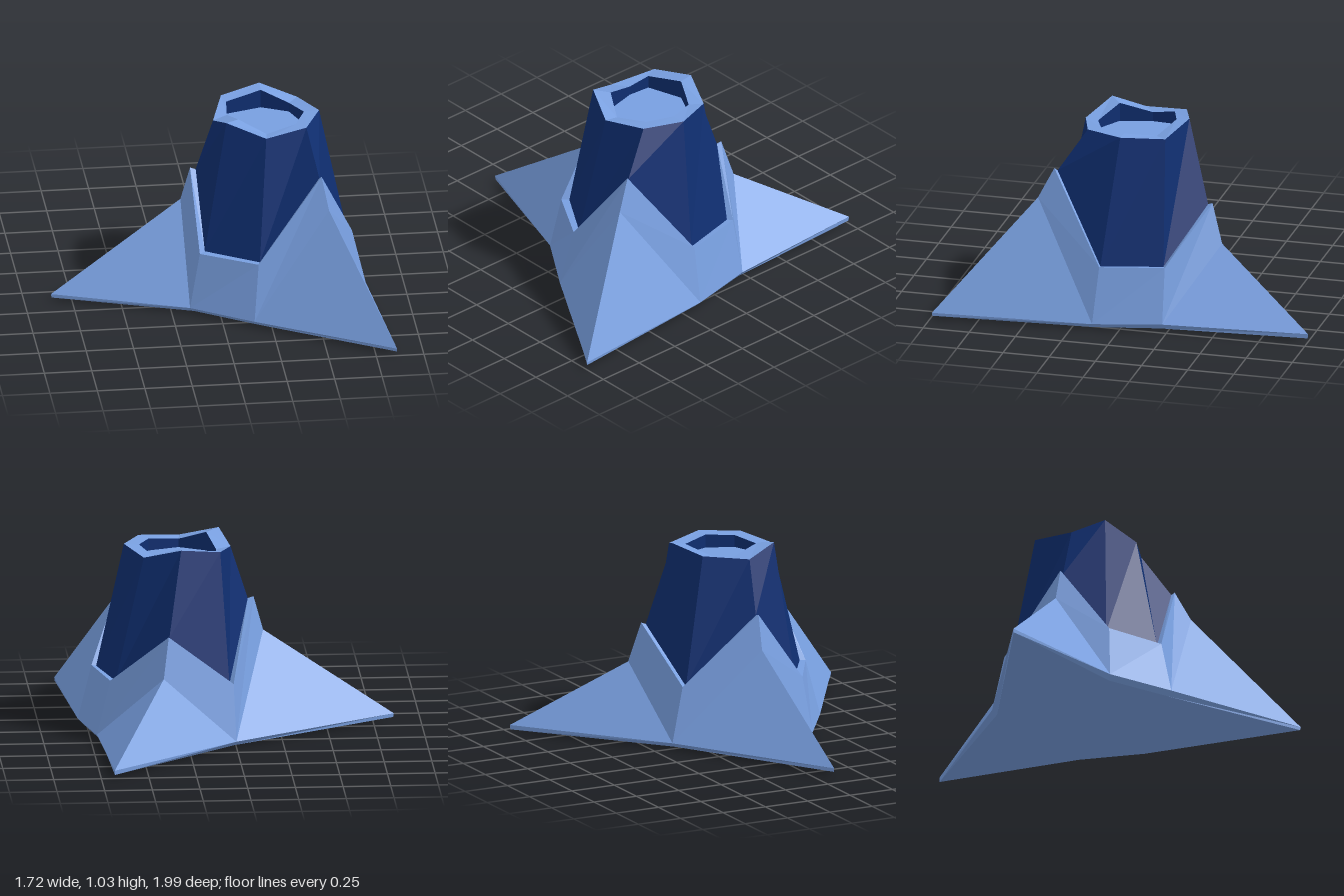
import * as THREE from 'three';

// Eight-sided rings, running from the -x side over the front (+z); each point is [x, y, z]
const columnTop = [[0, 0.97, 0.06], [0.05, 1.03, 0.23], [0.25, 0.97, 0.32], [0.47, 0.99, 0.25],
  [0.56, 0.995, 0.05], [0.47, 0.975, -0.17], [0.28, 1.03, -0.25], [0.07, 1.0, -0.18]];
const rimInner = [[0.08, 0.97, 0.0], [0.12, 1.02, 0.17], [0.26, 0.965, 0.25], [0.42, 0.985, 0.19],
  [0.48, 0.99, 0.05], [0.42, 0.97, -0.11], [0.28, 1.02, -0.18], [0.09, 0.99, -0.12]];
const columnFoot = [[-0.09, 0.69, 0.05], [-0.07, 0.325, 0.29], [0.2, 0.325, 0.46], [0.52, 0.765, 0.4],
  [0.7, 0.32, 0.12], [0.62, 0.32, -0.2], [0.35, 0.59, -0.37], [0.03, 0.32, -0.3]];
const collarTop = [[-0.12, 0.7, 0.05], [-0.1, 0.325, 0.32], [0.19, 0.325, 0.49], [0.53, 0.78, 0.415],
  [0.725, 0.325, 0.12], [0.65, 0.325, -0.215], [0.355, 0.6, -0.395], [0.01, 0.325, -0.33]];
const collarFoot = [[-0.17, 0.52, 0.045], [-0.155, 0.03, 0.35], [0.16, 0.03, 0.56], [0.56, 0.62, 0.495],
  [0.795, 0.03, 0.14], [0.72, 0.035, -0.22], [0.385, 0.39, -0.455], [0, 0.03, -0.395]];
const tips = { 0: [-0.86, 0.038, 0.11], 3: [0.86, 0.035, 0.99], 6: [0.68, 0.042, -1] };

const CENTRE = [0.29, 0.05];

// Flat-faced geometry from triangles, leaving out collapsed ones
function facets(triangles) {
  const solid = triangles.filter(([a, b, c]) => a !== b && b !== c && a !== c);
  const geometry = new THREE.BufferGeometry();
  geometry.setAttribute('position', new THREE.Float32BufferAttribute(solid.flat(2), 3));
  geometry.computeVertexNormals();
  return geometry;
}

// Wall between two rings, facing outwards when the first one is lower
function band(low, high) {
  return facets(low.flatMap((a, i) => {
    const j = (i + 1) % low.length;
    return [[a, low[j], high[j]], [a, high[j], high[i]]];
  }));
}

// Closing cap around a centre point, facing up or down
function cap(ring, y, up) {
  const middle = [CENTRE[0], y, CENTRE[1]];
  return facets(ring.map((a, i) => {
    const b = ring[(i + 1) % ring.length];
    return up ? [a, b, middle] : [b, a, middle];
  }));
}

export function createModel() {
  const lightBlue = new THREE.MeshStandardMaterial({ color: 0x789fe0 });
  lightBlue.name = 'light blue';
  const navy = new THREE.MeshStandardMaterial({ color: 0x0f2e70 });
  navy.name = 'navy';

  const model = new THREE.Group();
  model.name = 'spikedColumn';
  const add = (name, geometry, material) => {
    const mesh = new THREE.Mesh(geometry, material);
    mesh.name = name;
    model.add(mesh);
  };

  // Base outline: the collar foot with its three ridge points drawn out to spikes
  const outline = collarFoot.map((p, i) => tips[i] ?? p);
  const underside = outline.map(([x, , z], i) => {
    const s = i in tips ? 0.997 : 0.95;
    return [CENTRE[0] + (x - CENTRE[0]) * s, i in tips ? 0.018 : 0.005, CENTRE[1] + (z - CENTRE[1]) * s];
  });
  add('underside', cap(underside, 0, false), lightBlue);
  add('baseEdge', band(underside, outline), lightBlue);
  add('spikes', band(outline, collarFoot), lightBlue);

  // Zigzag collar with a narrow lip
  add('collar', band(collarFoot, collarTop), lightBlue);
  add('collarLip', band(collarTop, columnFoot), lightBlue);

  // Tapered column with a hollow top
  const floorRing = rimInner.map(([x, , z]) => [x, 0.92, z]);
  add('column', band(columnFoot, columnTop), navy);
  add('rim', band(columnTop, rimInner), lightBlue);
  add('recessWall', band(rimInner, floorRing), navy);
  add('recessFloor', cap(floorRing, 0.92, true), lightBlue);

  return model;
}
